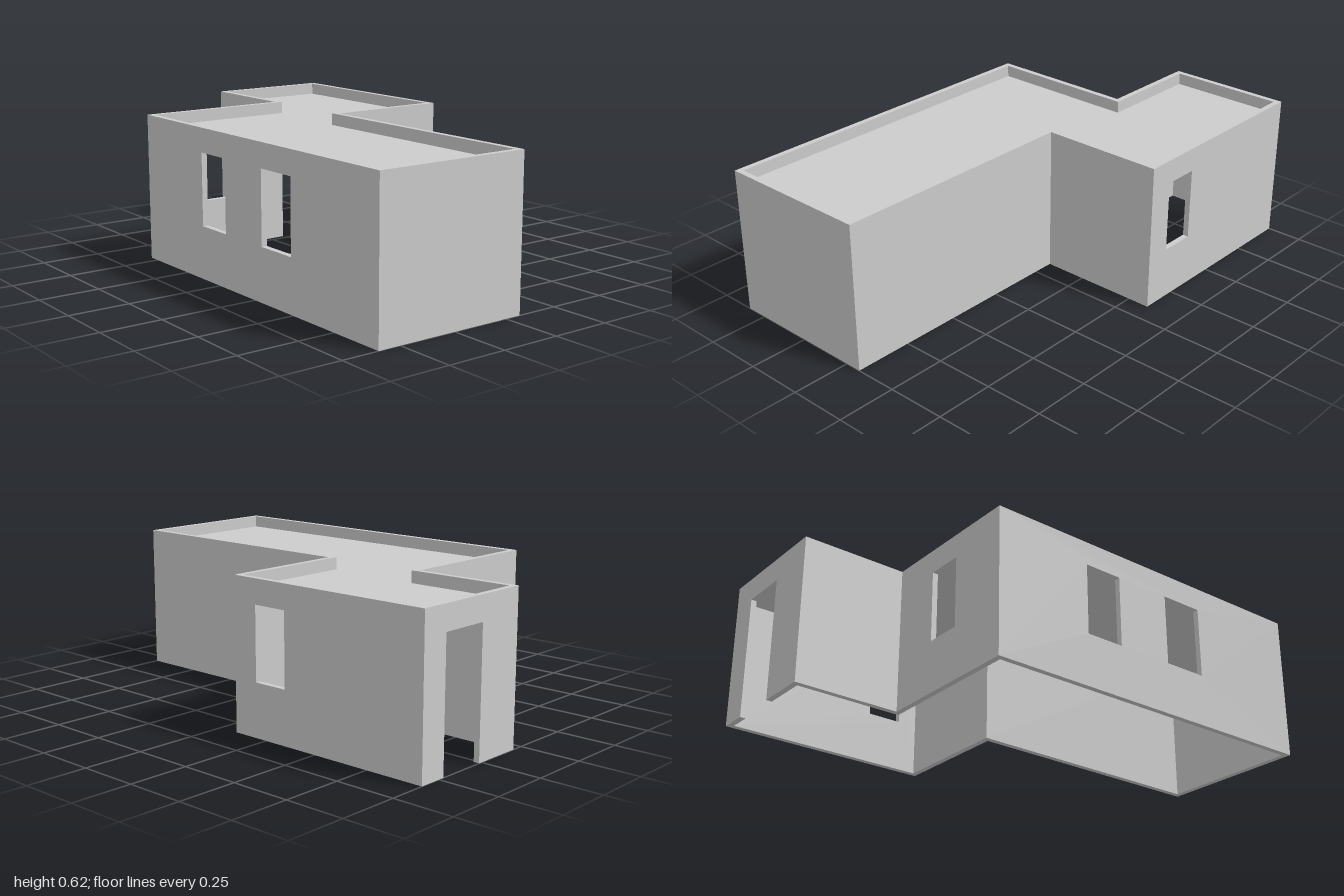
import * as THREE from 'three';

const HEIGHT = 0.62, WALL = 0.024, ROOF_TOP = 0.57, ROOF_DEPTH = 0.02;

// Outer floor plan as [x, z] corners, with the inside always on the right-hand side
const PLAN = [
  [-0.595, -0.55], [0.05, -0.55], [0.05, -1], [0.595, -1],
  [0.595, -0.09], [0.07, -0.09], [0.07, 1], [-0.595, 1],
].map(([x, z]) => new THREE.Vector3(x, 0, z));

// Openings per wall: distance range along the wall, sill and head height
const OPENINGS = {
  0: [{ from: 0.27, to: 0.425, sill: 0.22, head: 0.52 }],
  2: [{ from: 0.215, to: 0.425, sill: 0, head: 0.52 }],
  3: [{ from: 0.65, to: 0.8, sill: 0.22, head: 0.52 }],
  7: [
    { from: 0.51, to: 0.7, sill: 0.22, head: 0.52 },
    { from: 0.95, to: 1.12, sill: 0.22, head: 0.52 },
  ],
};
const NAMES = ['backWall', 'wingInnerWall', 'wingBackWall', 'wingSideWall',
  'wingFrontWall', 'mainSideWall', 'frontWall', 'mainOuterWall'];

const UP = new THREE.Vector3(0, 1, 0);
const count = PLAN.length;
const corner = (i) => PLAN[(i + count) % count];
const direction = (i) => corner(i + 1).clone().sub(corner(i)).normalize();
const inward = (i) => direction(i).cross(UP);

// Wall panel with windows as holes and doors as notches, mitred at both ends
function wallGeometry(i) {
  const length = corner(i).distanceTo(corner(i + 1));
  const shape = new THREE.Shape();
  shape.moveTo(0, 0);
  for (const { from, to, sill, head } of OPENINGS[i] ?? []) {
    if (sill === 0) {
      shape.lineTo(from, 0);
      shape.lineTo(from, head);
      shape.lineTo(to, head);
      shape.lineTo(to, 0);
    } else {
      shape.holes.push(new THREE.Path([
        new THREE.Vector2(from, sill), new THREE.Vector2(from, head),
        new THREE.Vector2(to, head), new THREE.Vector2(to, sill),
      ]));
    }
  }
  shape.lineTo(length, 0);
  shape.lineTo(length, HEIGHT);
  shape.lineTo(0, HEIGHT);
  shape.closePath();

  const geometry = new THREE.ExtrudeGeometry(shape, { depth: WALL, bevelEnabled: false });
  const startShift = -Math.sign(direction(i - 1).dot(inward(i))) * WALL;
  const endShift = -Math.sign(direction(i + 1).dot(inward(i))) * WALL;
  const pos = geometry.attributes.position;
  for (let v = 0; v < pos.count; v++) {
    if (pos.getZ(v) < WALL / 2) continue;
    const x = pos.getX(v);
    if (x < 1e-5) pos.setX(v, x + startShift);
    else if (x > length - 1e-5) pos.setX(v, x + endShift);
  }
  geometry.computeVertexNormals();
  return geometry;
}

export function createModel() {
  const group = new THREE.Group();
  group.name = 'building';
  const material = new THREE.MeshStandardMaterial({ color: 0xcccccc });

  // Walls, rising above the roof as a parapet
  for (let i = 0; i < count; i++) {
    const wall = new THREE.Mesh(wallGeometry(i), material);
    wall.name = NAMES[i];
    wall.position.copy(corner(i));
    const d = direction(i);
    wall.rotation.y = Math.atan2(-d.z, d.x);
    group.add(wall);
  }

  // Flat roof slab fitted between the walls
  const inner = PLAN.map((p, i) => {
    const q = p.clone().addScaledVector(inward(i - 1), WALL).addScaledVector(inward(i), WALL);
    return new THREE.Vector2(q.x, q.z);
  });
  const slab = new THREE.ExtrudeGeometry(new THREE.Shape(inner), { depth: ROOF_DEPTH, bevelEnabled: false });
  slab.rotateX(Math.PI / 2);
  const roof = new THREE.Mesh(slab, material);
  roof.name = 'roof';
  roof.position.y = ROOF_TOP;
  group.add(roof);

  return group;
}
